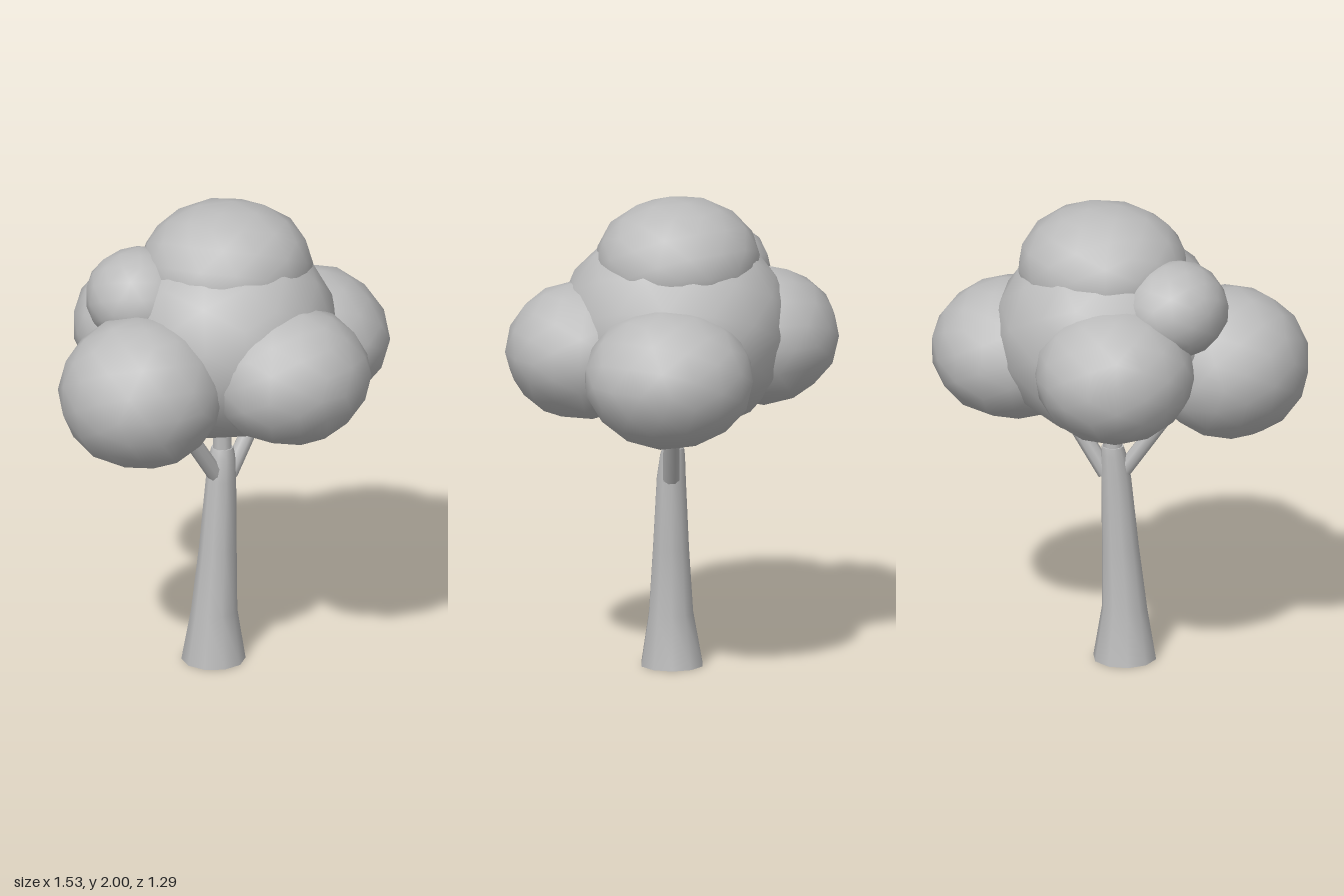
import * as THREE from 'three';
import { mergeVertices } from 'three/addons/utils/BufferGeometryUtils.js';

const grey = new THREE.MeshStandardMaterial({ color: 0xbcbcbc });
grey.name = 'matteGrey';

function add(group, name, geometry) {
  const mesh = new THREE.Mesh(geometry, grey);
  mesh.name = name;
  group.add(mesh);
  return mesh;
}

// Smooth, slightly uneven low-poly ball of leaves
function leafBall([cx, cy, cz], [rx, ry, rz], turn) {
  let g = new THREE.IcosahedronGeometry(1, 2);
  g.deleteAttribute('uv');
  g.deleteAttribute('normal');
  g = mergeVertices(g, 1e-4);
  g.rotateY(turn);
  const p = g.attributes.position;
  for (let i = 0; i < p.count; i++) {
    const x = p.getX(i), y = p.getY(i), z = p.getZ(i);
    const s = 1 + 0.012 * Math.sin(5 * x + 3 * z + turn) * Math.cos(4 * y);
    p.setXYZ(i, x * s, y * s, z * s);
  }
  g.scale(rx, ry, rz);
  g.computeVertexNormals();
  g.translate(cx, cy, cz);
  return g;
}

// Tapered limb through rings of [x, y, z, radius], capped at both ends
function limb(rings, sides = 10) {
  const pos = [], index = [];
  for (const [x, y, z, r] of rings) {
    for (let j = 0; j < sides; j++) {
      const a = (j / sides) * Math.PI * 2;
      pos.push(x + Math.sin(a) * r, y, z + Math.cos(a) * r);
    }
  }
  for (let i = 0; i < rings.length - 1; i++) {
    for (let j = 0; j < sides; j++) {
      const k = (j + 1) % sides;
      const a = i * sides + j, b = i * sides + k;
      index.push(a, b, a + sides, b, b + sides, a + sides);
    }
  }
  // Caps use their own vertices so the rims stay sharp
  [0, rings.length - 1].forEach((i, end) => {
    const start = pos.length / 3;
    pos.push(...pos.slice(i * sides * 3, (i + 1) * sides * 3));
    for (let j = 1; j < sides - 1; j++) {
      if (end) index.push(start, start + j, start + j + 1);
      else index.push(start, start + j + 1, start + j);
    }
  });
  const g = new THREE.BufferGeometry();
  g.setAttribute('position', new THREE.Float32BufferAttribute(pos, 3));
  g.setIndex(index);
  g.computeVertexNormals();
  return g;
}

// Straight branch between two points
function branch(from, to, r0, r1) {
  const a = new THREE.Vector3(...from), b = new THREE.Vector3(...to);
  const dir = b.clone().sub(a);
  const g = new THREE.CylinderGeometry(r1, r0, dir.length(), 8);
  g.applyQuaternion(new THREE.Quaternion().setFromUnitVectors(
    new THREE.Vector3(0, 1, 0), dir.normalize()));
  const mid = a.add(b).multiplyScalar(0.5);
  return g.translate(mid.x, mid.y, mid.z);
}

export function createModel() {
  const tree = new THREE.Group();
  tree.name = 'tree';

  // Trunk, flared at the foot, with a thinner stem running into the crown
  add(tree, 'trunk', limb([
    [-0.038, 0, 0.01, 0.133],
    [-0.036, 0.22, 0.013, 0.096],
    [-0.018, 0.5, 0.008, 0.078],
    [-0.002, 0.8, 0.002, 0.063],
    [0.006, 0.9, -0.006, 0.054],
    [0.008, 0.935, -0.01, 0.046],
  ]));
  add(tree, 'upperStem', limb([
    [0.008, 0.88, -0.01, 0.042],
    [0.008, 1.2, -0.01, 0.036],
  ], 8));
  add(tree, 'rightBranch', branch([-0.02, 0.81, 0.01], [-0.24, 1.15, 0.1], 0.034, 0.034));
  add(tree, 'leftBranch', branch([0.04, 0.81, -0.01], [0.24, 1.15, -0.075], 0.036, 0.034));

  // Crown: name, centre, radii, turn
  const crown = [
    ['crownCore', [0.02, 1.45, -0.02], [0.475, 0.445, 0.49], 0.2],
    ['crownTop', [0.037, 1.735, -0.038], [0.36, 0.268, 0.345], 0.9],
    ['crownRight', [-0.425, 1.325, 0.195], [0.342, 0.317, 0.345], 1.5],
    ['crownFront', [0.178, 1.367, 0.325], [0.34, 0.288, 0.325], 2.2],
    ['crownLeft', [0.418, 1.33, -0.118], [0.345, 0.293, 0.355], 2.9],
    ['crownBack', [-0.185, 1.395, -0.325], [0.335, 0.29, 0.33], 3.7],
    ['crownSmall', [-0.33, 1.63, -0.085], [0.225, 0.205, 0.232], 4.4],
  ];
  for (const [name, centre, radii, turn] of crown) {
    add(tree, name, leafBall(centre, radii, turn));
  }
  return tree;
}
